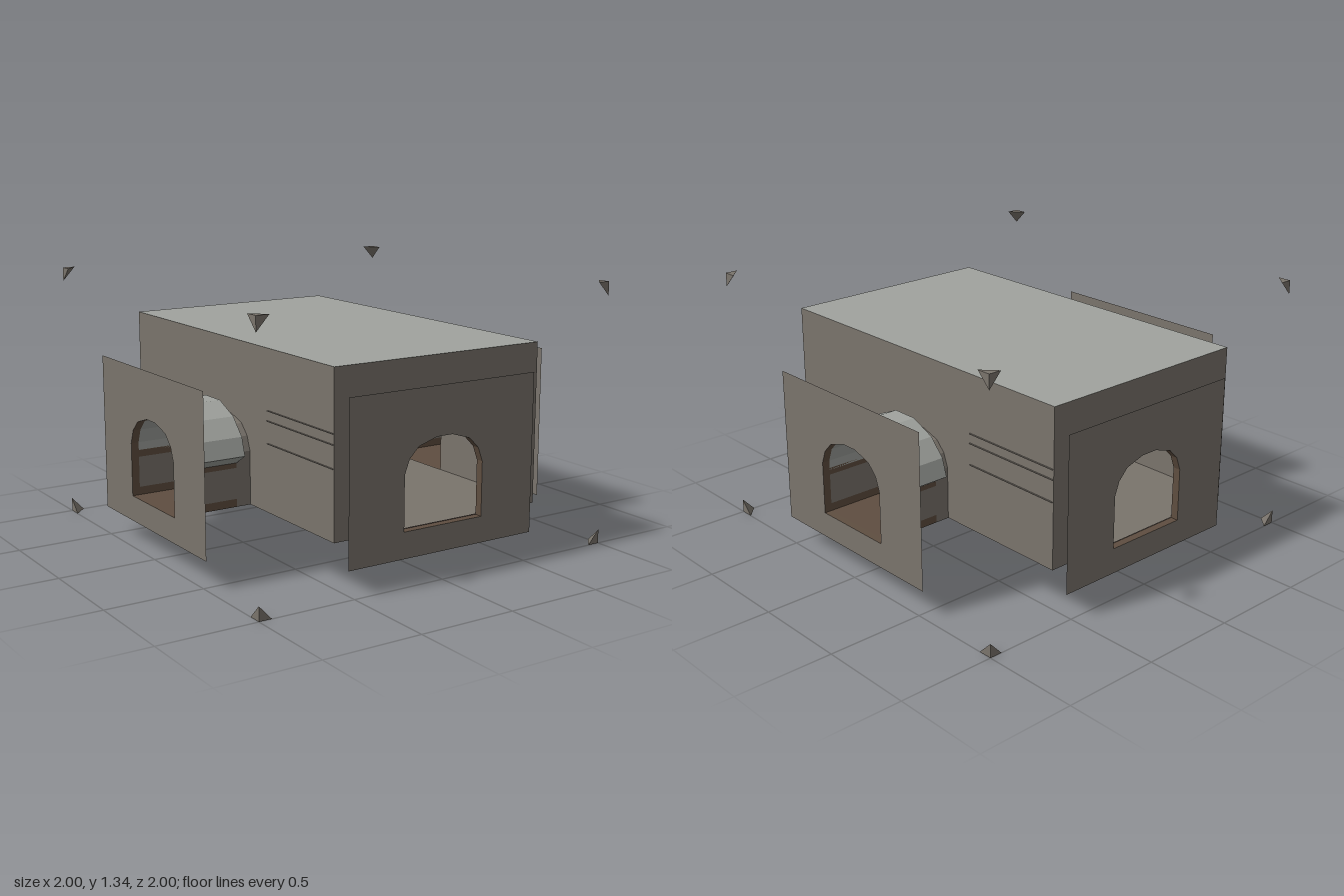
import * as THREE from 'three';

const material = (name, color, side = THREE.DoubleSide) => {
  const m = new THREE.MeshStandardMaterial({ color, side, flatShading: true });
  m.name = name;
  return m;
};

// Half of the polygonal doorway arch, from the floor up
const FLOOR = 0.27, ROOF = 1.07, HX = 0.585, HZ = 0.96;
const halfArch = [[0.226, FLOOR], [0.226, 0.54], [0.2, 0.61], [0.148, 0.663], [0.045, 0.695]];
const mirrorX = (pts) => pts.map(([x, y]) => [-x, y]).reverse();
const archLoop = [...halfArch, ...mirrorX(halfArch)];
const toVectors = (pts) => pts.map(([x, y]) => new THREE.Vector2(x, y));

// Flat rectangular panel with an arched doorway, lying in z = 0
function doorPanel(halfWidth, bottom, top) {
  const shape = new THREE.Shape(toVectors([
    [-halfWidth, bottom], [halfWidth, bottom], [halfWidth, top], [-halfWidth, top]]));
  // the doorway sits just above the lower edge so that the outline stays valid
  const hole = archLoop.map(([x, y]) => [x, Math.max(y, bottom + 0.002)]);
  shape.holes.push(new THREE.Path(toVectors(hole)));
  return new THREE.ShapeGeometry(shape);
}

// Thin surface swept along z from z0 to z1 through a line of points
function sweep(pts, z0, z1) {
  const pos = [], index = [];
  pts.forEach(([x, y]) => pos.push(x, y, z0, x, y, z1));
  for (let i = 0; i < pts.length - 1; i++) {
    const a = i * 2;
    index.push(a, a + 2, a + 1, a + 1, a + 2, a + 3);
  }
  const g = new THREE.BufferGeometry();
  g.setAttribute('position', new THREE.Float32BufferAttribute(pos, 3));
  g.setIndex(index);
  const flat = g.toNonIndexed();
  flat.computeVertexNormals();
  return flat;
}

// Right-angled tetrahedron whose square corner points to the signs given
function cornerGeometry(sx, sy, sz) {
  const s = 0.066;
  const o = [0, 0, 0], a = [-sx * s, 0, 0], b = [0, -sy * s * 1.08, 0], c = [0, 0, -sz * s * 1.08];
  let faces = [[o, a, b], [o, b, c], [o, c, a], [a, c, b]];
  if (sx * sy * sz < 0) faces = faces.map(([p, q, r]) => [p, r, q]);
  const g = new THREE.BufferGeometry();
  g.setAttribute('position', new THREE.Float32BufferAttribute(faces.flat(2), 3));
  g.computeVertexNormals();
  return g;
}

export function createModel() {
  const model = new THREE.Group();
  model.name = 'roomTile';
  const stone = material('taupe stone', 0x7a746c);
  const slab = material('pale grey slab', 0xa0a39e);
  const wood = material('brown wood', 0x5f4e40);
  const base = material('dark brown base', 0x5c4e48);

  const add = (parent, name, geometry, mat, x = 0, y = 0, z = 0) => {
    const mesh = new THREE.Mesh(geometry, mat);
    mesh.name = name;
    mesh.position.set(x, y, z);
    parent.add(mesh);
    return mesh;
  };

  // Roof, floor and underside of the hollow room
  const plan = new THREE.PlaneGeometry(HX * 2, HZ * 2).rotateX(-Math.PI / 2);
  add(model, 'roof', plan, slab, 0, ROOF, 0);
  add(model, 'floor', plan, stone, 0, FLOOR + 0.004, 0);
  add(model, 'underside', plan, base, 0, FLOOR, 0);

  // Four sides, each with its wall, tunnel and outer door plate
  for (let i = 0; i < 4; i++) {
    const side = new THREE.Group();
    side.name = ['front', 'left', 'back', 'right'][i] + 'Side';
    side.rotation.y = i * Math.PI / 2;
    model.add(side);
    const long = i % 2 === 1;
    const wallAt = long ? HX : HZ;
    add(side, 'wall', doorPanel(long ? HZ : HX, FLOOR, ROOF), stone, 0, 0, wallAt);
    add(side, 'doorPlate', doorPanel(0.533, 0.14, 0.935), stone, 0, 0, 1);
    add(side, 'doorFrame', sweep([...archLoop, archLoop[0]], 0.96, 1), wood);
    if (long) addTunnel(side);
  }

  // Longer passage with a pale arched sleeve
  function addTunnel(side) {
    add(side, 'tunnelNeck', sweep(archLoop, HX, 0.66), stone);
    add(side, 'tunnelFloor', sweep([[-0.226, FLOOR], [0.226, FLOOR]], HX, 0.96), wood);
    for (const s of [-1, 1]) {
      const x = s * 0.226;
      add(side, 'lowerBeam', sweep([[x, FLOOR], [x, 0.31]], 0.66, 0.96), wood);
      add(side, 'tunnelWall', sweep([[x, 0.31], [x, 0.465]], 0.66, 0.96), stone);
      add(side, 'upperBeam', sweep([[x, 0.465], [x, 0.5]], 0.66, 0.96), wood);
    }
    const outer = [[0.226, 0.49], [0.308, 0.54], [0.28, 0.63], [0.2, 0.715], [0.07, 0.772]];
    const inner = halfArch.slice(1);
    const ring = [...outer, ...mirrorX(outer), ...[...inner, ...mirrorX(inner)].reverse()];
    const sleeve = new THREE.ExtrudeGeometry(new THREE.Shape(toVectors(ring)),
      { depth: 0.3, bevelEnabled: false });
    add(side, 'archSleeve', sleeve, slab, 0, 0, 0.66);
  }

  // Shelves in two opposite corners, their edges just showing through the walls
  for (const s of [-1, 1]) {
    const shelves = new THREE.Group();
    shelves.name = 'shelves';
    model.add(shelves);
    for (const y of [0.61, 0.72, 0.77]) {
      add(shelves, 'shelf', new THREE.BoxGeometry(0.15, 0.004, 0.56), stone,
        s * (HX + 0.006 - 0.075), y, -s * 0.675);
    }
    add(shelves, 'crate', new THREE.BoxGeometry(0.12, 0.1, 0.12), wood,
      s * 0.48, FLOOR + 0.055, -s * 0.5);
  }

  // Eight small corner markers around the tile
  for (const sx of [-1, 1]) for (const sy of [-1, 1]) for (const sz of [-1, 1]) {
    add(model, 'cornerMarker', cornerGeometry(sx, sy, sz), stone,
      sx, sy > 0 ? 1.335 : 0, sz);
  }
  return model;
}
